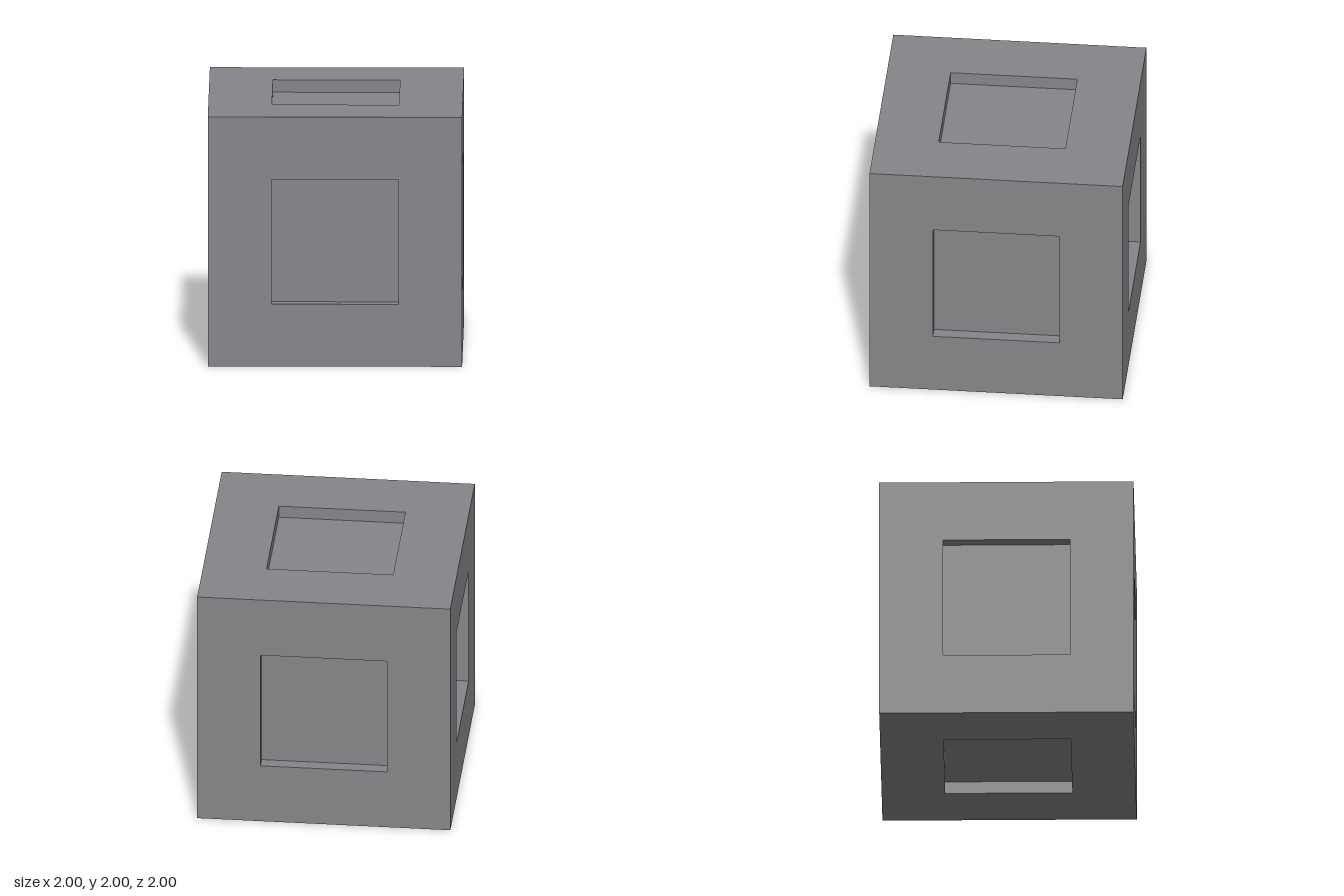
import * as THREE from 'three';
import { mergeGeometries } from 'three/addons/utils/BufferGeometryUtils.js';

const HALF = 1;       // half the cube's edge
const OPENING = 0.5;  // half the recess width
const DEPTH = 0.1;    // recess depth

function square(path, r) {
  path.moveTo(-r, -r);
  path.lineTo(r, -r);
  path.lineTo(r, r);
  path.lineTo(-r, r);
  path.closePath();
  return path;
}

export function createModel() {
  const model = new THREE.Group();
  model.name = 'recessedCube';

  const grey = new THREE.MeshStandardMaterial({ color: 0x868589 });
  grey.name = 'grey';

  // Square border with a square opening, facing +z
  const shape = square(new THREE.Shape(), HALF);
  shape.holes.push(square(new THREE.Path(), OPENING));
  const frame = new THREE.ShapeGeometry(shape).translate(0, 0, HALF);

  // Four inward-facing walls around the opening
  const walls = mergeGeometries([0, 1, 2, 3].map((i) =>
    new THREE.PlaneGeometry(2 * OPENING, DEPTH)
      .rotateX(Math.PI / 2)
      .translate(0, OPENING, HALF - DEPTH / 2)
      .rotateZ(i * Math.PI / 2)));

  // Flat floor of the recess
  const floor = new THREE.PlaneGeometry(2 * OPENING, 2 * OPENING)
    .translate(0, 0, HALF - DEPTH);

  // The same recessed panel on all six sides
  const q = Math.PI / 2;
  const sides = {
    front: [0, 0], left: [0, q], back: [0, 2 * q], right: [0, -q],
    top: [-q, 0], bottom: [q, 0],
  };
  for (const [name, [rx, ry]] of Object.entries(sides)) {
    const side = new THREE.Group();
    side.name = name + 'Side';
    const parts = { Frame: frame, RecessWalls: walls, RecessFloor: floor };
    for (const [part, geometry] of Object.entries(parts)) {
      const mesh = new THREE.Mesh(geometry, grey);
      mesh.name = name + part;
      side.add(mesh);
    }
    side.rotation.set(rx, ry, 0);
    side.position.y = HALF;
    model.add(side);
  }
  return model;
}
